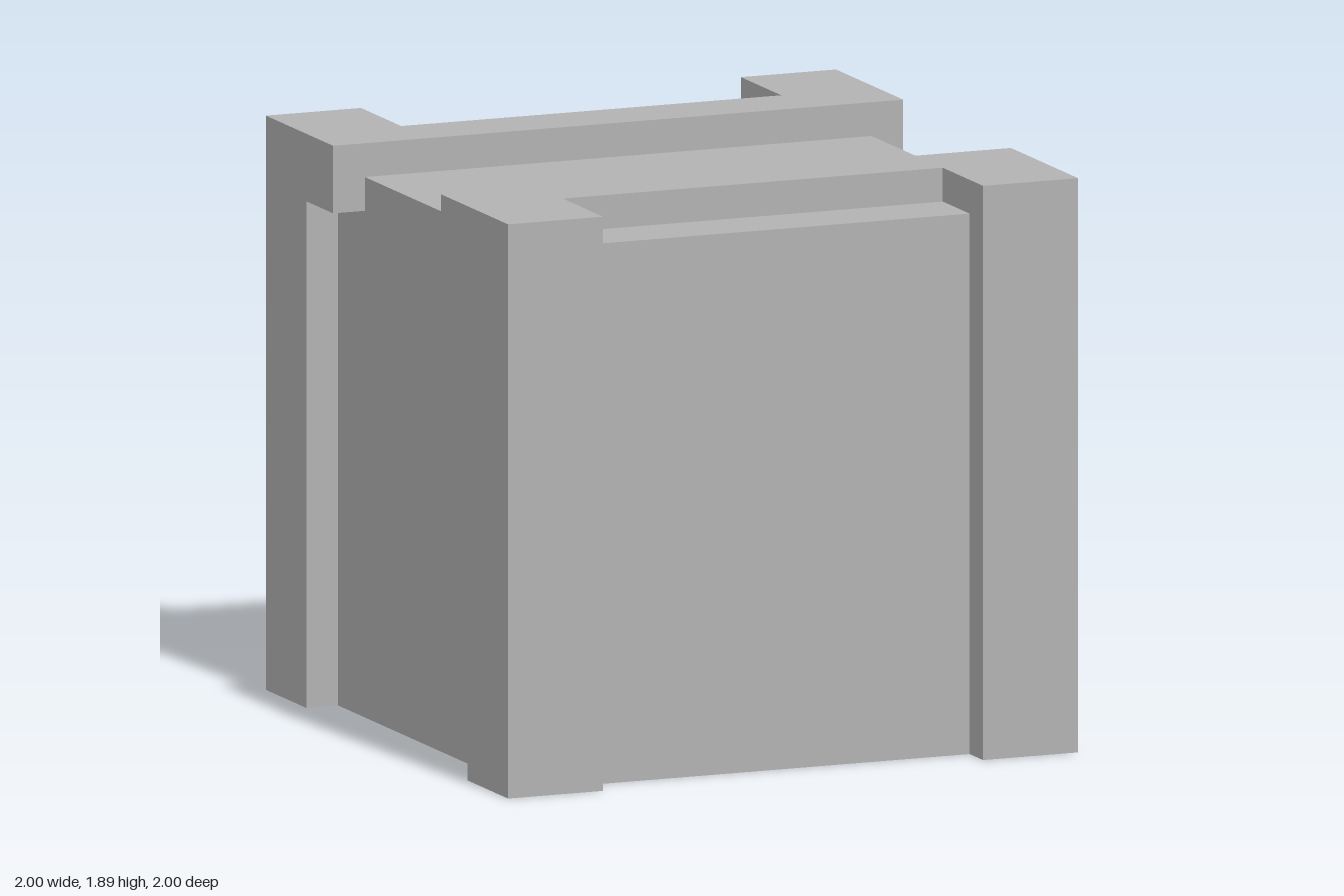
import * as THREE from 'three';

const U = 1 / 9; // the design sits on a grid of 18 x 17 x 18 cells

// Box given by its low and high corners in grid cells; it may be left open underneath.
function block(name, lo, hi, material, openBottom = false) {
  const size = hi.map((h, i) => (h - lo[i]) * U);
  const geometry = new THREE.BoxGeometry(...size);
  if (openBottom) {
    const index = Array.from(geometry.index.array);
    index.splice(18, 6); // the downward face
    geometry.setIndex(index);
    geometry.clearGroups();
  }
  const mesh = new THREE.Mesh(geometry, material);
  mesh.name = name;
  mesh.position.set(...hi.map((h, i) => ((h + lo[i]) / 2) * U));
  return mesh;
}

export function createModel() {
  const model = new THREE.Group();
  model.name = 'crate';
  const grey = new THREE.MeshStandardMaterial({ color: 0xb2b2b2, side: THREE.DoubleSide });
  grey.name = 'plain grey';

  // Hollow body, open at the bottom
  model.add(block('body', [-8, 0, -8], [8, 16, 8], grey, true));

  for (const front of [true, false]) {
    const end = front ? 'front' : 'back';
    // Raised rail across the top, overhanging both sides
    const [z0, z1] = front ? [4, 6] : [-6, -4];
    model.add(block(`${end}TopRail`, [-9, 15, z0], [9, 17, z1], grey));

    // Hollow corner posts
    const [p0, p1] = front ? [6, 9] : [-9, -6];
    model.add(block(`${end}LeftPost`, [6, 0, p0], [9, 17, p1], grey, true));
    model.add(block(`${end}RightPost`, [-9, 0, p0], [-6, 17, p1], grey, true));
  }
  return model;
}
